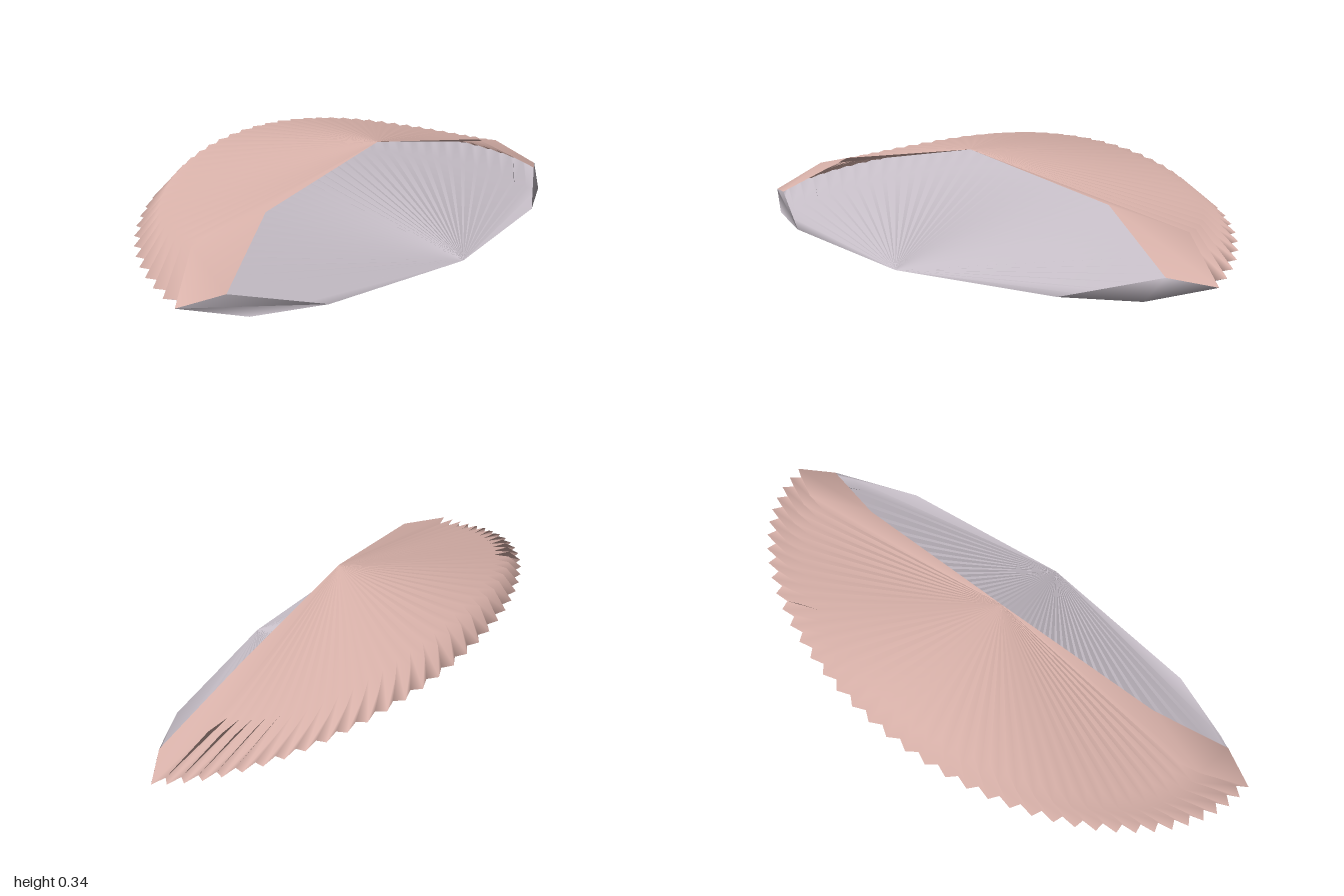
import * as THREE from 'three';

const RIBS = 40;
const SLICES = RIBS * 2;
const APEX = [0, 0.345, 0.11];
const HINGE = [0, 0, 0.455];

// Rings: half-ellipse sizes, height rule and how far the grooves are drawn in
const RINGS = {
  top: { rx: 0.84, rz: 0.52, z: 0.1, y: s => 0.195 + 0.14 * s * s, groove: 0.91, lift: 0.006, end: [0.6, 0.25, 0.145] },
  rim: { rx: 1.0, rz: 0.66, z: 0.2, y: s => 0.076 + 0.179 * s, groove: 0.965, lift: 0, end: [0.87, 0.1, 0.24] },
  under: { rx: 0.83, rz: 0.65, z: 0.31, y: s => 0.025 + 0.185 * s, groove: 0.93, lift: 0.004, end: [0.6, 0.02, 0.38] },
};

// Point of a ring on one slice; even slices are grooves, odd slices are ridges
function ringPoint(ring, i) {
  if (i === 0) return ring.end;
  if (i === SLICES) return [-ring.end[0], ring.end[1], ring.end[2]];
  const a = (i / SLICES) * Math.PI;
  const s = Math.sin(a);
  const ridge = i % 2 === 1;
  const k = ridge ? 1 : ring.groove;
  return [
    ring.rx * k * Math.cos(a),
    ring.y(s) + (ridge ? 0 : ring.lift),
    ring.z - ring.rz * k * s,
  ];
}

// Ribbed surface through a list of rows, each giving a point per slice
function ribbedSurface(rows) {
  const pos = [], index = [], n = rows.length;
  for (let i = 0; i <= SLICES; i++) {
    rows.forEach(row => pos.push(...row(i)));
    if (i === SLICES) break;
    for (let j = 0; j < n - 1; j++) {
      const a = i * n + j, b = a + 1, c = a + n + 1, d = a + n;
      if (rows[j](i) !== APEX) index.push(a, c, d);
      if (rows[j + 1](i) !== HINGE) index.push(a, b, c);
    }
  }
  const geo = new THREE.BufferGeometry();
  geo.setAttribute('position', new THREE.Float32BufferAttribute(pos, 3));
  geo.setIndex(index);
  geo.computeVertexNormals();
  return geo;
}

export function createModel() {
  const pink = new THREE.MeshStandardMaterial({ color: 0xd9b2aa, side: THREE.DoubleSide });
  pink.name = 'dusty pink';
  const grey = new THREE.MeshStandardMaterial({ color: 0xc6bec7, side: THREE.DoubleSide });
  grey.name = 'pale lilac grey';

  const top = i => ringPoint(RINGS.top, i);
  const rim = i => ringPoint(RINGS.rim, i);
  const under = i => ringPoint(RINGS.under, i);

  const group = new THREE.Group();
  group.name = 'ribbedShell';

  // Upper half, from the apex out to the rim
  const upper = new THREE.Mesh(ribbedSurface([() => APEX, top, rim]), pink);
  upper.name = 'upperShell';

  // Lower half, from the rim back to the front point; the front stays open
  const lower = new THREE.Mesh(ribbedSurface([rim, under, () => HINGE]), grey);
  lower.name = 'lowerShell';

  group.add(upper, lower);
  return group;
}
